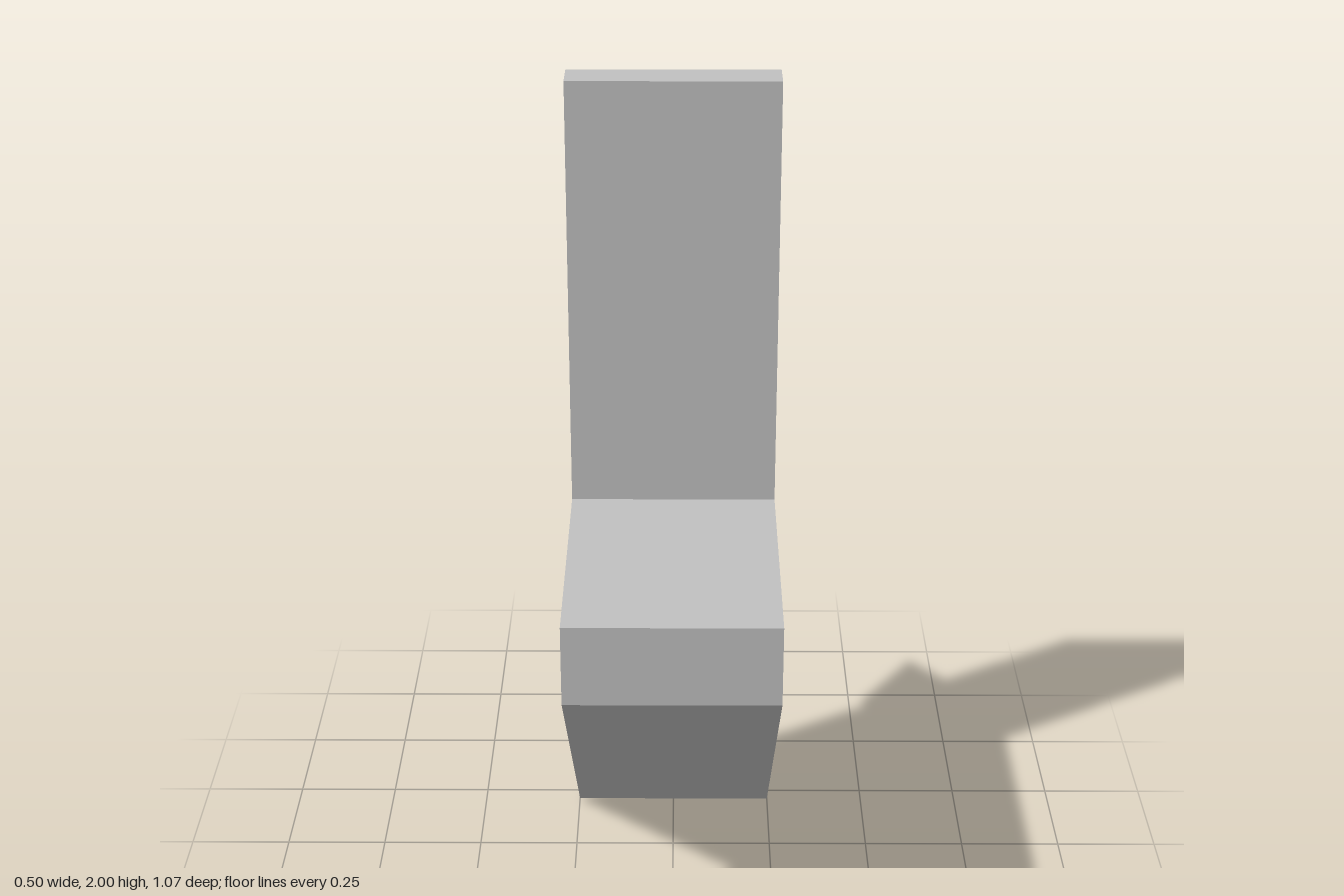
import * as THREE from 'three';

export function createModel() {
  const model = new THREE.Group();
  const grey = new THREE.MeshStandardMaterial({ color: 0xc0c0c0 });
  grey.name = 'light grey';

  const add = (name, geometry) => {
    const mesh = new THREE.Mesh(geometry, grey);
    mesh.name = name;
    model.add(mesh);
  };

  // Bracket: side profile (z, y) with back plate, ledge and sloped underside
  const width = 0.5, backZ = -0.21;
  const profile = new THREE.Shape([
    [backZ, 0], [0.535, 0.74], [0.535, 0.94],
    [-0.115, 0.94], [-0.115, 2], [backZ, 2],
  ].map(([z, y]) => new THREE.Vector2(z, y)));
  const bracket = new THREE.ExtrudeGeometry(profile, { depth: width, bevelEnabled: false });
  bracket.rotateY(-Math.PI / 2).translate(width / 2, 0, 0);
  add('bracket', bracket);

  // Pointed peg on the back, slightly off centre
  const pegX = 0.016, pegY = 0.94, radius = 0.124, shaft = 0.128, tip = 0.197;
  const place = (geometry, z) => geometry.rotateX(-Math.PI / 2).translate(pegX, pegY, z);
  add('pegShaft', place(
    new THREE.CylinderGeometry(radius, radius, shaft, 64, 1, true), backZ - shaft / 2));
  add('pegTip', place(
    new THREE.ConeGeometry(radius, tip, 64, 1, true), backZ - shaft - tip / 2));

  return model;
}
